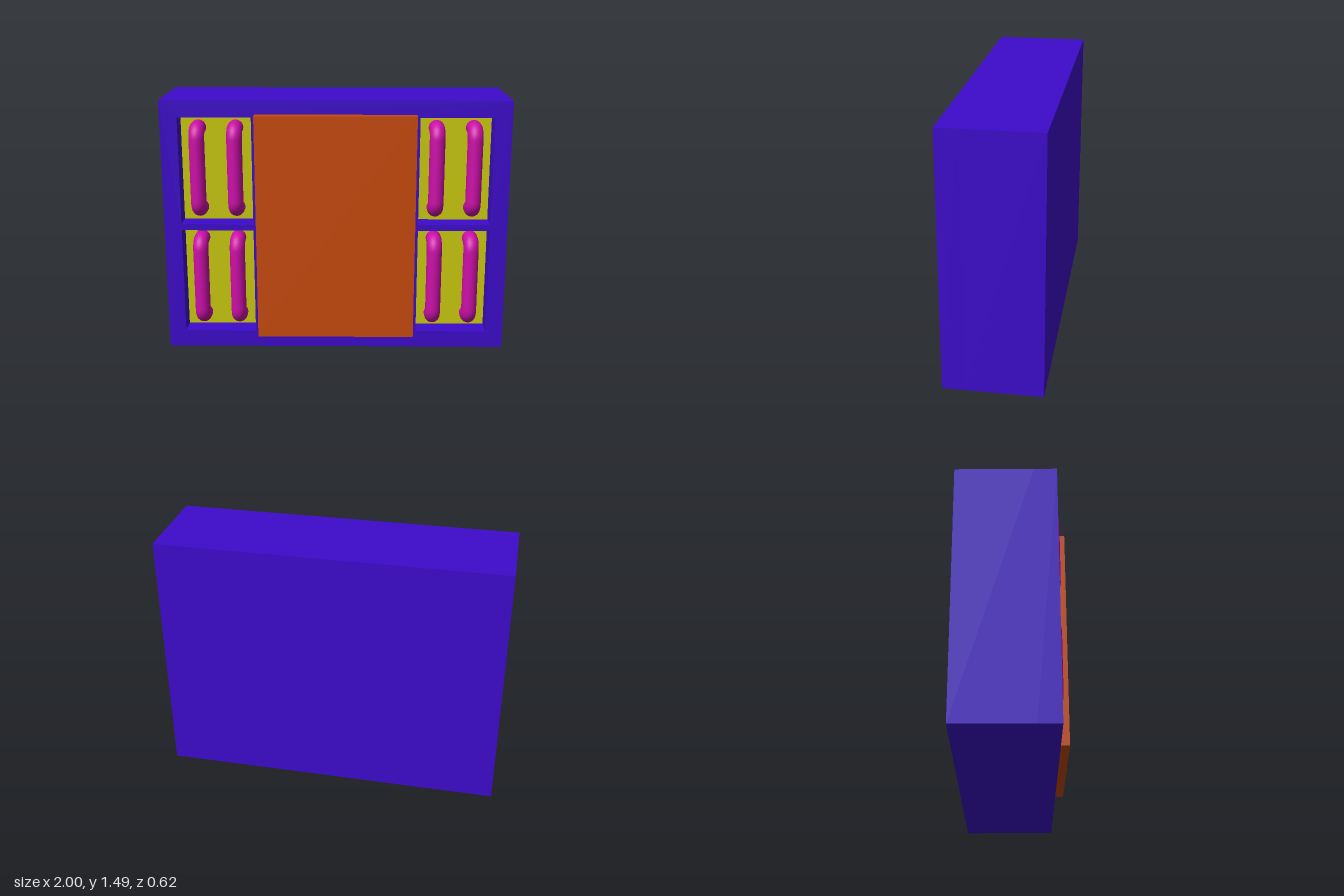
import * as THREE from 'three';

const material = (color) => new THREE.MeshStandardMaterial({ color });

function rectPath(PathType, x0, y0, x1, y1) {
  return new PathType([[x0, y0], [x1, y0], [x1, y1], [x0, y1]].map(([x, y]) => new THREE.Vector2(x, y)));
}

function box(name, mat, x0, x1, y0, y1, z0, z1) {
  const mesh = new THREE.Mesh(new THREE.BoxGeometry(x1 - x0, y1 - y0, z1 - z0), mat);
  mesh.position.set((x0 + x1) / 2, (y0 + y1) / 2, (z0 + z1) / 2);
  mesh.name = name;
  return mesh;
}

export function createModel() {
  const group = new THREE.Group();
  group.name = 'cabinet';
  const purple = material(0x3d0bcb);
  const yellow = material(0xc9c90f);
  const magenta = material(0xcc0fa8);
  const orange = material(0xc84a0c);

  const height = 1.49, back = -0.31, recess = 0.125, front = 0.25;
  const rows = [[0.1, 0.728], [0.765, 1.393]];
  const inner = 0.48, outer = 0.9;

  // Solid body behind a front frame with four openings
  group.add(box('body', purple, -1, 1, 0, height, back, recess));
  const outline = rectPath(THREE.Shape, -1, 0, 1, height);
  for (const [y0, y1] of rows) {
    outline.holes.push(rectPath(THREE.Path, inner, y0, outer, y1));
    outline.holes.push(rectPath(THREE.Path, -outer, y0, -inner, y1));
  }
  const frame = new THREE.Mesh(
    new THREE.ExtrudeGeometry(outline, { depth: front - recess, bevelEnabled: false }), purple);
  frame.position.z = recess;
  frame.name = 'frontFrame';
  group.add(frame);

  // Central door
  group.add(box('door', orange, -0.46, 0.46, 0.087, 1.41, front, 0.31));

  // Bent bar: two stubs out of the panel joined by a straight grip
  const r = 0.045, bend = 0.055, half = 0.283 - r, reach = 0.22;
  const path = new THREE.CurvePath();
  const v = (y, z) => new THREE.Vector3(0, y, z);
  path.add(new THREE.LineCurve3(v(-half, recess), v(-half, reach - bend)));
  const corner = (s) => Array.from({ length: 9 }, (_, i) => {
    const a = (i / 8) * Math.PI / 2;
    return v(s * (half - bend + bend * Math.cos(a)), reach - bend + bend * Math.sin(a));
  });
  path.add(new THREE.CatmullRomCurve3(corner(-1)));
  path.add(new THREE.LineCurve3(v(bend - half, reach), v(half - bend, reach)));
  path.add(new THREE.CatmullRomCurve3(corner(1).reverse()));
  path.add(new THREE.LineCurve3(v(half, reach - bend), v(half, recess)));
  const barGeometry = new THREE.TubeGeometry(path, 80, r, 24);

  // Panel and two bars in each opening
  for (const side of [-1, 1]) {
    for (const [y0, y1] of rows) {
      const x0 = side > 0 ? inner : -outer;
      group.add(box('recessPanel', yellow, x0, x0 + outer - inner, y0, y1, recess - 0.01, recess + 0.003));
      for (const x of [0.582, 0.798]) {
        const bar = new THREE.Mesh(barGeometry, magenta);
        bar.position.set(side * x, (y0 + y1) / 2, 0);
        bar.name = 'bar';
        group.add(bar);
      }
    }
  }
  return group;
}
